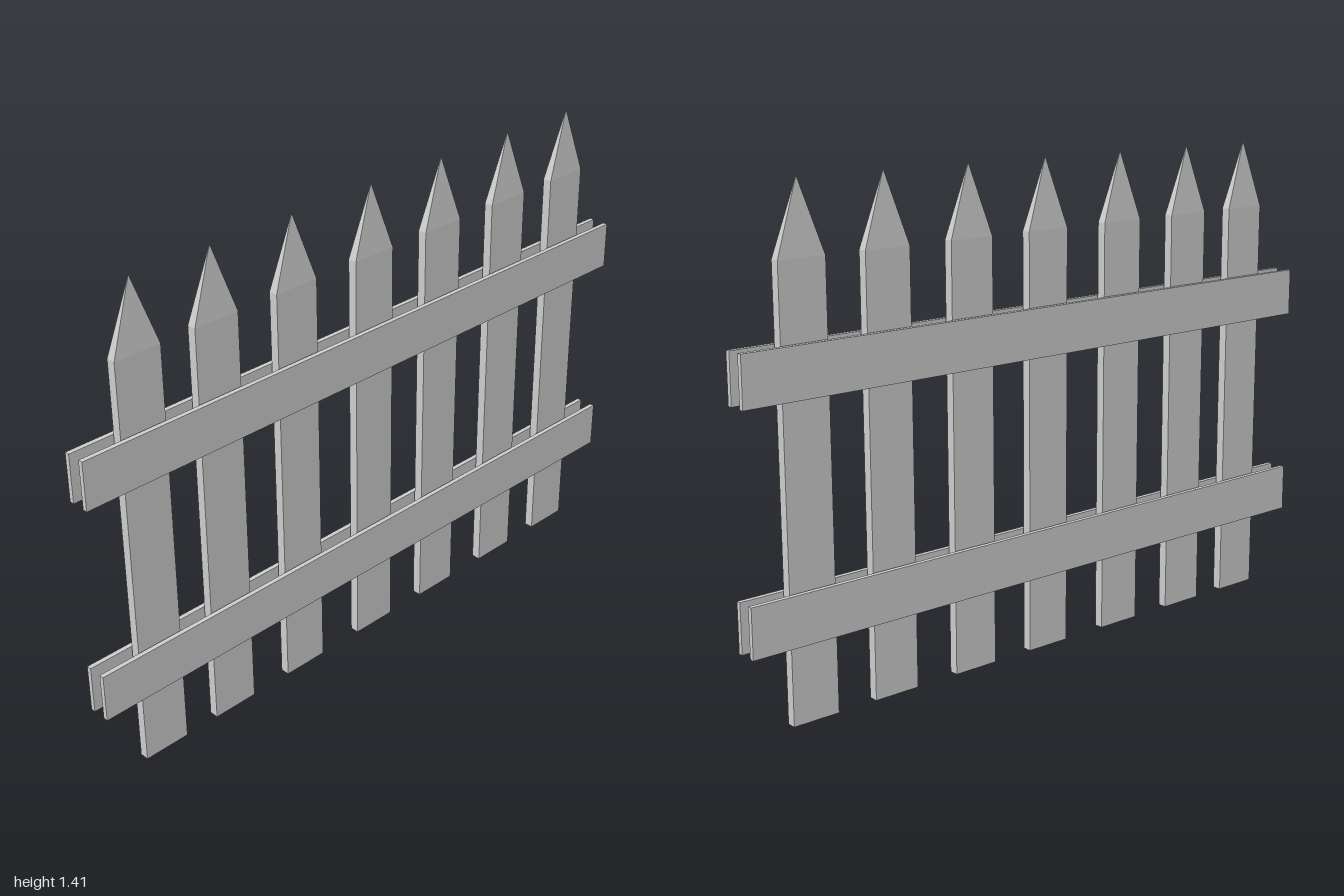
import * as THREE from 'three';

const PICKET = { width: 0.14, depth: 0.027, shoulder: 1.21, tip: 1.41 };
const RAIL = { length: 2, height: 0.14, depth: 0.014, offset: 0.026 };

// Square post with a pyramid point: a four-sided lathe squashed to a plank
function picketGeometry() {
  const r = Math.SQRT1_2;
  const profile = [[0, 0], [r, 0], [r, PICKET.shoulder], [0, PICKET.tip]]
    .map(([x, y]) => new THREE.Vector2(x, y));
  const geometry = new THREE.LatheGeometry(profile, 4, Math.PI / 4)
    .scale(PICKET.width, 1, PICKET.depth)
    .toNonIndexed();
  geometry.computeVertexNormals();
  return geometry;
}

export function createModel() {
  const fence = new THREE.Group();
  fence.name = 'picketFence';
  const material = new THREE.MeshStandardMaterial({ color: 0xcccccc, flatShading: true });

  const add = (name, geometry, x, y, z) => {
    const mesh = new THREE.Mesh(geometry, material);
    mesh.name = name;
    mesh.position.set(x, y, z);
    fence.add(mesh);
  };

  // Seven slightly unevenly spaced pickets
  const picket = picketGeometry();
  [-0.8, -0.553, -0.283, 0, 0.27, 0.545, 0.805].forEach((x, i) => {
    add(`picket${i + 1}`, picket, x, 0, 0);
  });

  // Upper and lower rails on both faces, just clear of the pickets
  const rail = new THREE.BoxGeometry(RAIL.length, RAIL.height, RAIL.depth);
  for (const [level, y] of [['lower', 0.29], ['upper', 0.93]]) {
    add(`${level}FrontRail`, rail, 0, y, RAIL.offset);
    add(`${level}BackRail`, rail, 0, y, -RAIL.offset);
  }

  return fence;
}
